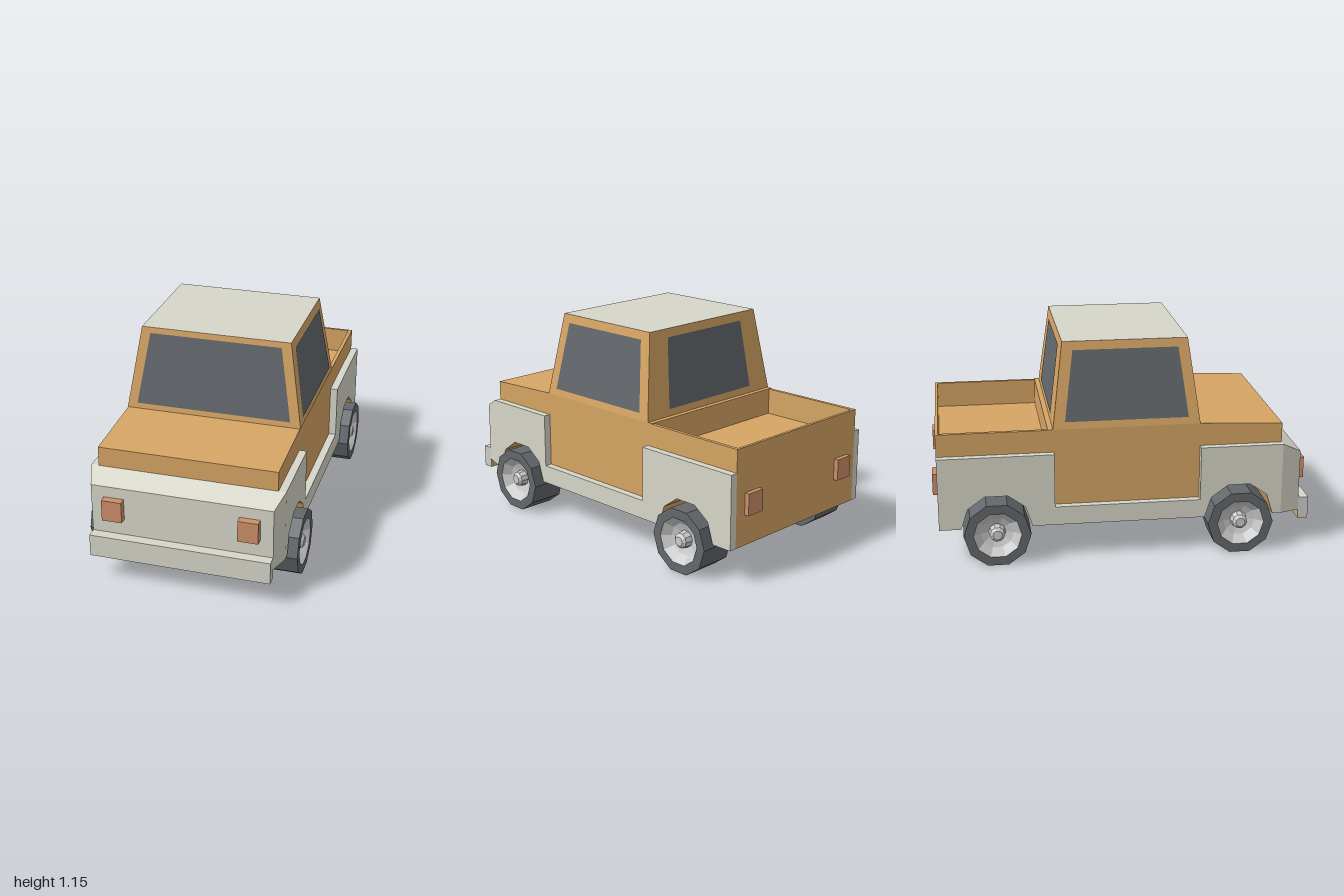
import * as THREE from 'three';

const material = (name, color) => {
  const m = new THREE.MeshStandardMaterial({ color });
  m.name = name;
  return m;
};

export function createModel() {
  const truck = new THREE.Group();
  truck.name = 'pickupTruck';
  const orange = material('orangePaint', 0xd6a564);
  const cream = material('creamPaint', 0xd6d6c9);
  const dark = material('darkGlassAndRubber', 0x63686c);
  const lamp = material('lampCopper', 0xcd8f69);
  const silver = material('silver', 0xcccccc);

  const add = (name, geometry, mat, parent = truck) => {
    const mesh = new THREE.Mesh(geometry, mat);
    mesh.name = name;
    parent.add(mesh);
    return mesh;
  };

  // Gives every triangle its own flat normal
  const flat = (geometry) => {
    const g = geometry.index ? geometry.toNonIndexed() : geometry;
    g.computeVertexNormals();
    return g;
  };

  // Assigns a material index to each triangle from its normal
  const paintByNormal = (geometry, rule) => {
    const g = flat(geometry);
    const n = g.attributes.normal;
    g.clearGroups();
    for (let i = 0; i < n.count; i += 3) {
      g.addGroup(i, 3, rule(n.getX(i), n.getY(i), n.getZ(i)));
    }
    return g;
  };
  const underside = (nx, ny) => (ny < -0.1 ? 1 : 0);

  const box = (x0, x1, y0, y1, z0, z1) =>
    new THREE.BoxGeometry(x1 - x0, y1 - y0, z1 - z0)
      .translate((x0 + x1) / 2, (y0 + y1) / 2, (z0 + z1) / 2);

  // Unit box whose corners are moved by a rule
  const shapedBox = (rule) => {
    const g = new THREE.BoxGeometry(2, 2, 2);
    const p = g.attributes.position;
    for (let i = 0; i < p.count; i++) p.setXYZ(i, ...rule(p.getX(i), p.getY(i), p.getZ(i)));
    return flat(g);
  };

  // Extrudes a (z, y) side profile between two x positions
  const sideExtrude = (points, x0, x1) => {
    const shape = new THREE.Shape(points.map(([z, y]) => new THREE.Vector2(z, y)));
    return new THREE.ExtrudeGeometry(shape, { depth: x1 - x0, bevelEnabled: false })
      .rotateY(-Math.PI / 2).translate(x1, 0, 0);
  };

  const axles = [0.61, -0.675];
  const arch = (c) => [[0.185, 0.19], [0.15, 0.3], [0.06, 0.365], [-0.06, 0.365], [-0.15, 0.3], [-0.185, 0.19]]
    .map(([z, y]) => [c + z, y]);
  const bottomEdge = [[0.84, 0.19], ...arch(axles[0]), ...arch(axles[1]), [-0.975, 0.19]];

  // Main body with bonnet, open bed and wheel tunnels
  add('body', flat(sideExtrude([
    ...bottomEdge, [-0.975, 0.7], [-0.96, 0.7], [-0.96, 0.56], [-0.4, 0.56], [-0.4, 0.703],
    [0.4, 0.703], [0.84, 0.685],
  ], -0.47, 0.47)), orange);

  // Raised side panels with a door cut-out, and bed walls
  const panelPoints = [
    ...bottomEdge, [-0.975, 0.58], [-0.37, 0.58], [-0.37, 0.29], [0.4, 0.29], [0.4, 0.58], [0.84, 0.58],
  ];
  for (const [side, s] of [['left', 1], ['right', -1]]) {
    const panel = s > 0 ? sideExtrude(panelPoints, 0.47, 0.51) : sideExtrude(panelPoints, -0.51, -0.47);
    add(side + 'SidePanel', paintByNormal(panel, underside), [cream, orange]);
    const x = s * 0.46;
    add(side + 'BedWall', box(x - 0.01, x + 0.01, 0.55, 0.7, -0.975, -0.39), orange);
  }

  // Tapered nose
  const nose = shapedBox((x, y, z) => (z > 0
    ? [x * 0.475, y > 0 ? 0.525 : 0.19, 0.945]
    : [x * 0.51, y > 0 ? 0.58 : 0.19, 0.84]));
  add('nose', paintByNormal(nose, underside), [cream, orange]);

  // Front bumper
  add('frontBumper', paintByNormal(box(-0.475, 0.475, 0.14, 0.26, 0.945, 1),
    (nx, ny, nz) => (Math.abs(nx) > 0.5 ? 2 : ny < -0.5 || nz < -0.5 ? 1 : 0)), [cream, orange, silver]);

  // Cab tapering to a cream roof
  const yBase = 0.703, yRoof = 1.15;
  const mix = (a, b, y) => a + (b - a) * (y - yBase) / (yRoof - yBase);
  const cabX = (y) => mix(0.473, 0.4, y);
  const cabFront = (y) => mix(0.4, 0.338, y);
  const cabBack = (y) => mix(-0.373, -0.315, y);
  const cab = shapedBox((x, y, z) => {
    const h = y > 0 ? yRoof : yBase;
    return [x * cabX(h), h, z > 0 ? cabFront(h) : cabBack(h)];
  });
  add('cab', paintByNormal(cab, (nx, ny) => (ny > 0.9 ? 1 : 0)), [orange, cream]);

  // Windows: quads listed counter-clockwise from outside, lifted off the wall
  const pane = (name, corners) => {
    const [a, b, c, d] = corners.map((p) => new THREE.Vector3(...p));
    const lift = b.clone().sub(a).cross(d.clone().sub(a)).setLength(0.004);
    const g = new THREE.BufferGeometry().setFromPoints([a, b, c, a, c, d].map((p) => p.clone().add(lift)));
    add(name, flat(g), dark);
  };
  const lo = 0.74, hi = 1.105;
  pane('windscreen', [
    [-0.417, 0.733, cabFront(0.733)], [0.417, 0.733, cabFront(0.733)],
    [0.352, 1.12, cabFront(1.12)], [-0.352, 1.12, cabFront(1.12)],
  ]);
  pane('rearWindow', [
    [0.315, lo, cabBack(lo)], [-0.315, lo, cabBack(lo)],
    [-0.28, hi, cabBack(hi)], [0.28, hi, cabBack(hi)],
  ]);
  pane('leftWindow', [
    [cabX(lo), lo, 0.337], [cabX(lo), lo, -0.31], [cabX(hi), hi, -0.262], [cabX(hi), hi, 0.287],
  ]);
  pane('rightWindow', [
    [-cabX(lo), lo, -0.31], [-cabX(lo), lo, 0.337], [-cabX(hi), hi, 0.287], [-cabX(hi), hi, -0.262],
  ]);

  // Head and tail lamps
  for (const s of [1, -1]) {
    const a = s * 0.355;
    add('headlamp', box(a - 0.053, a + 0.053, 0.35, 0.465, 0.94, 0.985), lamp);
    add('tailLamp', box(a - 0.053, a + 0.053, 0.35, 0.465, -1, -0.97), lamp);
  }

  // Ten-sided wheels with a dished rim on both faces
  const lathe = (points) => flat(new THREE.LatheGeometry(points.map(([r, y]) => new THREE.Vector2(r, y)), 10)
    .rotateZ(-Math.PI / 2));
  const dish = [[0.126, 0.1], [0.085, 0.06], [0.045, 0.045], [0.04, 0.085], [0.025, 0.098], [0, 0.098]];
  const tyre = lathe([[0.126, -0.1], [0.175, -0.1], [0.175, 0.1], [0.126, 0.1]]);
  const outerRim = lathe(dish);
  const innerRim = lathe(dish.map(([r, y]) => [r, -y]).reverse());
  for (const z of axles) {
    for (const s of [1, -1]) {
      const wheel = new THREE.Group();
      wheel.name = (z > 0 ? 'front' : 'rear') + (s > 0 ? 'Left' : 'Right') + 'Wheel';
      wheel.position.set(s * 0.46, 0.167, z);
      add('tyre', tyre, dark, wheel);
      add('rim', outerRim, silver, wheel);
      add('rim', innerRim, silver, wheel);
      truck.add(wheel);
    }
  }
  return truck;
}
